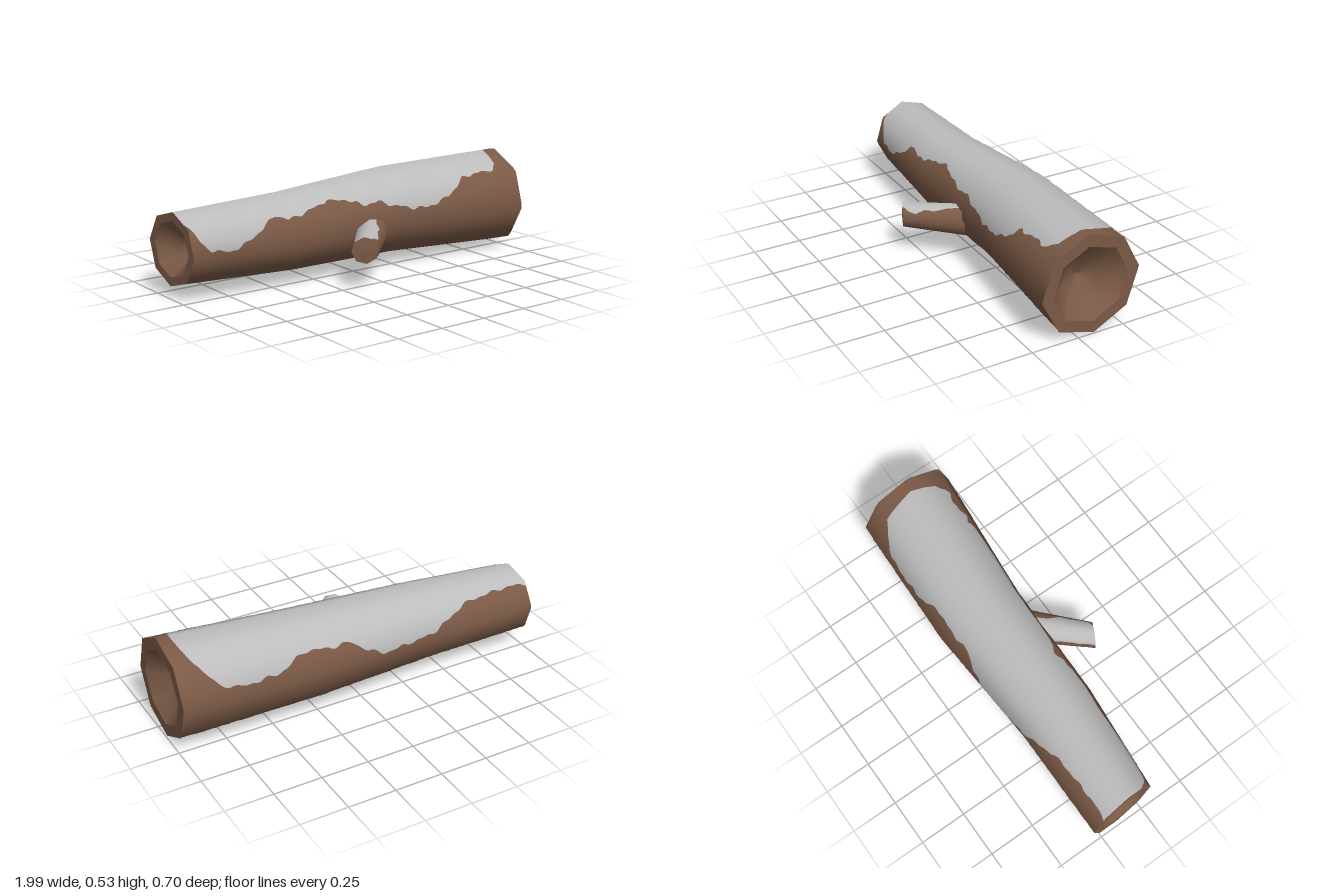
import * as THREE from 'three';

const SIDES = 8, PHASE = 5.5;
const V = (x, y, z) => new THREE.Vector3(x, y, z);
const UP = V(0, 1, 0);

// piecewise linear lookup in rows of [key, a, b, ...]
function lookup(rows, s, col = 1) {
  if (s <= rows[0][0]) return rows[0][col];
  for (let i = 1; i < rows.length; i++) {
    const p = rows[i - 1], q = rows[i];
    if (s <= q[0]) return p[col] + (q[col] - p[col]) * (s - p[0]) / (q[0] - p[0]);
  }
  return rows[rows.length - 1][col];
}

// a limb is an eight-sided tapering tube: rows are [s, x, y, z, radius, endSlope]
function makeLimb(rows, dir) {
  const side = dir.clone().cross(UP);
  const radial = (deg) => {
    const t = (deg - PHASE) / (360 / SIDES), i = Math.floor(t);
    const corner = (n) => {
      const a = THREE.MathUtils.degToRad(n * 360 / SIDES + PHASE);
      return UP.clone().multiplyScalar(Math.cos(a)).addScaledVector(side, Math.sin(a));
    };
    return corner(i).lerp(corner(i + 1), t - i);
  };
  const point = (s, deg, scale = 1, push = 0) => {
    const [x, y, z, r, slope] = [1, 2, 3, 4, 5].map((c) => lookup(rows, s, c));
    const o = radial(deg).multiplyScalar(r * scale);
    const shift = slope * o.dot(side) + push;
    return V(x, y, z).add(o).addScaledVector(dir, shift);
  };
  return { point, radial };
}

// strip of tube skin between two angle limits that vary along the limb
function skin(limb, stations, from, to, steps) {
  const pos = [], nor = [], idx = [];
  stations.forEach((s, i) => {
    const a = from(s), b = to(s);
    for (let j = 0; j <= steps; j++) {
      const deg = a + (b - a) * j / steps;
      pos.push(...limb.point(s, deg).toArray());
      nor.push(...limb.radial(deg).normalize().toArray());
      if (i && j) {
        const w = steps + 1, p = (i - 1) * w + j - 1, q = i * w + j - 1;
        idx.push(p, p + 1, q, p + 1, q + 1, q);
      }
    }
  });
  const g = new THREE.BufferGeometry();
  g.setAttribute('position', new THREE.Float32BufferAttribute(pos, 3));
  g.setAttribute('normal', new THREE.Float32BufferAttribute(nor, 3));
  g.setIndex(idx);
  return g;
}

// octagonal rings joined across an end; each ring is [radius scale, axial push]
function endRings(limb, s, rings, facing) {
  const pos = [], idx = [];
  rings.forEach(([k, push], i) => {
    for (let j = 0; j < SIDES; j++) {
      pos.push(...limb.point(s, PHASE + j * 360 / SIDES, k, push).toArray());
      if (!i) continue;
      const n = (j + 1) % SIDES, p = (i - 1) * SIDES, q = i * SIDES;
      const quad = [p + j, p + n, q + j, p + n, q + n, q + j];
      idx.push(...(facing > 0 ? quad : quad.reverse()));
    }
  });
  const g = new THREE.BufferGeometry();
  g.setAttribute('position', new THREE.Float32BufferAttribute(pos, 3));
  g.setIndex(idx);
  g.computeVertexNormals();
  return g;
}

export function createModel() {
  const root = new THREE.Group();
  root.name = 'snowyLog';
  const bark = new THREE.MeshStandardMaterial({ color: 0x7b5a46 });
  bark.name = 'bark brown';
  const snow = new THREE.MeshStandardMaterial({ color: 0xbcbcbc });
  snow.name = 'snow grey';
  const add = (name, geometry, material) => {
    const m = new THREE.Mesh(geometry, material);
    m.name = name;
    root.add(m);
  };
  const span = (a, b, n) => Array.from({ length: n + 1 }, (_, i) => a + (b - a) * i / n);
  const ripple = (s) => 1.6 * Math.sin(s * 47) + 1.2 * Math.sin(s * 83 + 1);

  // trunk
  const trunk = makeLimb([
    [-1, -0.985, 0.245, -0.125, 0.187, 0.08],
    [-0.4, -0.4, 0.25, -0.097, 0.213, 0],
    [0.25, 0.25, 0.27, -0.115, 0.241, 0],
    [1, 0.993, 0.267, -0.065, 0.266, 0],
  ], V(1, 0, 0));

  // snow edge on the front and back of the trunk, in degrees from the top
  const frontEdge = [[-1, 38], [-0.97, 58], [-0.95, 72], [-0.9, 85], [-0.8, 91], [-0.7, 82],
    [-0.6, 66], [-0.52, 50], [-0.45, 60], [-0.3, 52], [-0.2, 44], [-0.1, 50], [0, 62],
    [0.1, 62], [0.2, 72], [0.3, 78], [0.38, 80], [0.5, 74], [0.6, 60], [0.65, 49],
    [0.75, 46], [0.82, 44], [0.87, 45], [0.91, 34], [0.935, 0]];
  const backEdge = [[-1, 45], [-0.9, 42], [-0.8, 44], [-0.7, 47], [-0.6, 52], [-0.5, 68],
    [-0.38, 82], [-0.25, 84], [-0.09, 88], [0, 76], [0.09, 60], [0.2, 60], [0.35, 56],
    [0.45, 70], [0.54, 75], [0.72, 76], [0.8, 68], [0.85, 55], [0.9, 40], [0.935, 0]];
  const edge = (rows, k) => (s) => {
    const a = lookup(rows, s);
    return a > 10 ? a + ripple(s * k) : a;
  };
  const front = edge(frontEdge, 1), back = edge(backEdge, 0.9);
  const snowStations = span(-1, 0.935, 150);
  add('trunkSnow', skin(trunk, snowStations, (s) => -back(s), front, 32), snow);
  add('trunkBark', skin(trunk, [...snowStations, 1], front, (s) => 360 - back(s), 48), bark);

  // hollowed trunk ends
  for (const [s, name] of [[1, 'left'], [-1, 'right']]) {
    add(name + 'Rim', endRings(trunk, s, [[1, 0], [0.76, 0]], s), bark);
    add(name + 'Hollow', endRings(trunk, s, [[0.76, 0], [0.4, -0.08 * s], [0.001, -0.12 * s]], s), bark);
  }

  // side branch stub
  const branch = makeLimb([
    [0, 0.08, 0.213, 0.06, 0.086, 0],
    [1, -0.158, 0.202, 0.312, 0.068, 0.28],
  ], V(-0.687, 0, 0.727));
  const outer = (s) => 74 + ripple(s * 0.4);
  const inner = (s) => lookup([[0, 15], [0.3, 22], [0.5, 42], [0.65, 38], [0.8, 58], [0.92, 48], [1, 25]], s);
  const stations = span(0, 1, 40);
  add('branchSnow', skin(branch, stations, (s) => -inner(s), outer, 16), snow);
  add('branchBark', skin(branch, stations, outer, (s) => 360 - inner(s), 32), bark);
  add('branchEnd', endRings(branch, 1, [[1, 0], [0.001, 0.006]], 1), bark);

  return root;
}
